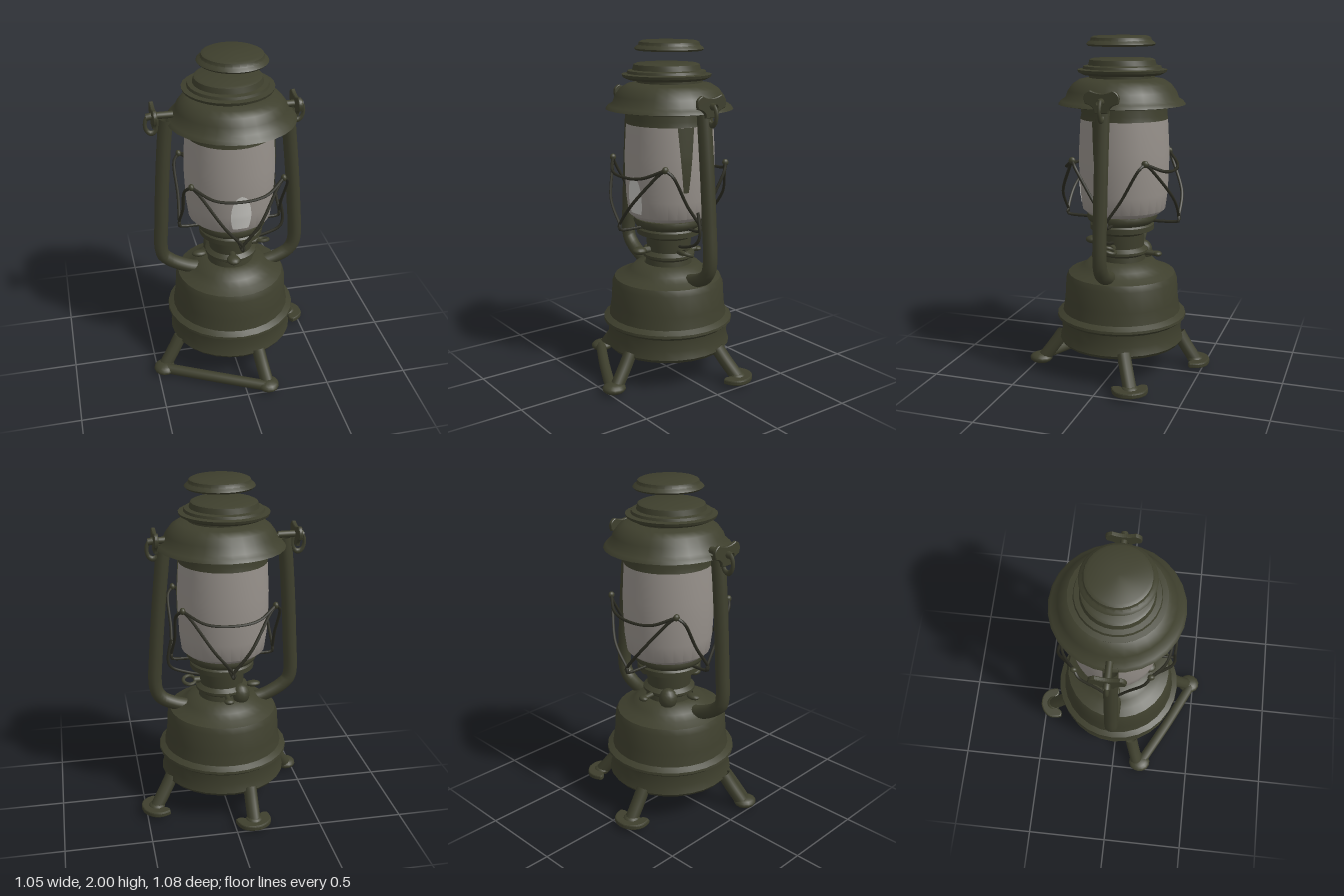
import * as THREE from 'three';
import { toCreasedNormals } from 'three/addons/utils/BufferGeometryUtils.js';

export function createModel() {
  const lantern = new THREE.Group();
  lantern.name = 'lantern';

  const paint = (name, color, side = THREE.DoubleSide) => {
    const m = new THREE.MeshStandardMaterial({ color, side });
    m.name = name;
    return m;
  };
  const metal = paint('olive metal', 0x3e3f2d);
  const wireMetal = paint('dark wire', 0x2c2c22);
  const glass = paint('smoky glass', 0x96908a);
  const glow = paint('pale glass', 0xc4c3be);

  const V = (p) => new THREE.Vector3(...p);
  const add = (name, geometry, material = metal, parent = lantern) => {
    const mesh = new THREE.Mesh(geometry, material);
    mesh.name = name;
    parent.add(mesh);
    return mesh;
  };
  // Turned part from [radius, height] pairs
  const turned = (name, profile, x, z, material = metal) => {
    const g = new THREE.LatheGeometry(profile.map(([r, y]) => new THREE.Vector2(r, y)), 28);
    const mesh = add(name, toCreasedNormals(g, 0.75), material);
    mesh.position.set(x, 0, z);
    return mesh;
  };
  // Round bar through points
  const bar = (name, points, radius, material = metal, sides = 10, tension = 0.5) => {
    const curve = new THREE.CatmullRomCurve3(points.map(V), false, 'catmullrom', tension);
    return add(name, new THREE.TubeGeometry(curve, points.length * 6, radius, sides), material);
  };
  // Ellipsoid lump
  const lump = (name, p, s, material = metal) => {
    const mesh = add(name, new THREE.SphereGeometry(1, 14, 10), material);
    mesh.position.set(...p);
    mesh.scale.set(...s);
    return mesh;
  };

  // Fuel tank with rim and shoulder
  turned('fuelTank', [
    [0, 0.18], [0.36, 0.18], [0.375, 0.2], [0.36, 0.25], [0.365, 0.32], [0.39, 0.34],
    [0.388, 0.355], [0.355, 0.375], [0.342, 0.45], [0.335, 0.57], [0.32, 0.605],
    [0.27, 0.625], [0.225, 0.65], [0.195, 0.68], [0.14, 0.69],
  ], 0, -0.01);

  // Burner neck and gallery
  turned('burner', [
    [0.14, 0.68], [0.135, 0.72], [0.155, 0.735], [0.155, 0.75], [0.13, 0.77], [0.135, 0.85],
    [0.16, 0.87], [0.19, 0.875], [0.19, 0.905], [0.18, 0.915], [0.2, 0.93], [0.21, 0.95],
    [0.205, 0.97], [0.17, 0.98],
  ], 0.005, -0.015);

  // Glass chimney and its dark upper collar
  const chimneyProfile = [
    [0.17, 0.965], [0.215, 0.975], [0.245, 1.0], [0.258, 1.1], [0.265, 1.25],
    [0.265, 1.35], [0.255, 1.53],
  ];
  turned('glassChimney', chimneyProfile, 0, -0.025, glass);
  turned('chimneyCollar', [[0.256, 1.53], [0.25, 1.56], [0.25, 1.66]], 0, -0.025);

  // Curved patch laid on the chimney, with its outline given by a half-angle rule
  const glassPatch = (name, y0, y1, centre, halfAngle, material) => {
    const g = new THREE.PlaneGeometry(1, 1, 8, 16);
    const p = g.attributes.position;
    for (let i = 0; i < p.count; i++) {
      const t = p.getY(i) + 0.5;
      const y = y0 + (y1 - y0) * t;
      const k = chimneyProfile.findIndex(([, h]) => h >= y);
      const [ra, ya] = chimneyProfile[k - 1], [rb, yb] = chimneyProfile[k];
      const r = ra + (rb - ra) * (y - ya) / (yb - ya) + 0.004;
      const a = centre + p.getX(i) * 2 * halfAngle(t);
      p.setXYZ(i, Math.sin(a) * r, y, Math.cos(a) * r - 0.025);
    }
    g.computeVertexNormals();
    add(name, g, material);
  };
  glassPatch('lightWindow', 1.02, 1.24, 0.05, (t) => 0.23 * Math.sqrt(Math.max(0, 1 - (t * 1.6 - 0.6) ** 2)), glow);
  glassPatch('sideGuard', 1.16, 1.53, 1.3, (t) => 0.06 + 0.13 * t, metal);

  // Hood, vent ring and the separate cap
  turned('hood', [
    [0.25, 1.615], [0.345, 1.61], [0.37, 1.615], [0.355, 1.635], [0.33, 1.65], [0.315, 1.69],
    [0.285, 1.73], [0.245, 1.755], [0.19, 1.765], [0.19, 1.785],
  ], 0.01, -0.015);
  turned('ventRing', [
    [0.18, 1.775], [0.225, 1.78], [0.255, 1.795], [0.26, 1.81], [0.23, 1.815], [0.225, 1.83],
    [0.198, 1.835], [0.19, 1.865], [0.175, 1.872], [0, 1.872],
  ], -0.01, -0.01);
  const cap = turned('topCap', [
    [0, 1.945], [0.165, 1.945], [0.19, 1.945], [0.2, 1.955], [0.19, 1.967], [0.177, 1.975],
    [0.172, 1.992], [0.155, 2.0], [0, 1.998],
  ], -0.005, -0.01);
  cap.rotation.z = -0.01;

  // Side tubes
  bar('leftSideTube', [
    [0.22, 0.62, -0.01], [0.3, 0.645, -0.01], [0.375, 0.69, -0.01], [0.407, 0.78, -0.01],
    [0.395, 1.0, -0.01], [0.375, 1.25, -0.01], [0.35, 1.5, -0.01], [0.335, 1.64, -0.01],
  ], 0.041);
  bar('rightSideTube', [
    [-0.18, 0.63, -0.01], [-0.27, 0.655, -0.01], [-0.375, 0.715, -0.01], [-0.42, 0.79, -0.01],
    [-0.412, 1.0, -0.01], [-0.397, 1.25, -0.01], [-0.377, 1.5, -0.01], [-0.36, 1.64, -0.01],
  ], 0.041);

  // Handle brackets: winged plate, peg and loop
  const wing = new THREE.Shape();
  wing.moveTo(-0.035, -0.05);
  wing.quadraticCurveTo(-0.04, -0.01, -0.09, 0.0);
  wing.quadraticCurveTo(-0.11, 0.05, -0.065, 0.065);
  wing.quadraticCurveTo(0, 0.035, 0.065, 0.065);
  wing.quadraticCurveTo(0.11, 0.05, 0.09, 0.0);
  wing.quadraticCurveTo(0.04, -0.01, 0.035, -0.05);
  for (const [side, x] of [['left', 0.385], ['right', -0.43]]) {
    const s = Math.sign(x);
    const plate = add(side + 'BracketPlate', new THREE.ExtrudeGeometry(wing, {
      depth: 0.015, bevelSize: 0.004, bevelThickness: 0.004, bevelSegments: 1,
    }));
    plate.rotation.y = Math.PI / 2;
    plate.position.set(x - 0.007, 1.65, -0.02);
    bar(side + 'BracketPeg', [[s * 0.32, 1.66, -0.02], [x, 1.66, -0.02], [x + s * 0.04, 1.655, -0.02]], 0.02);
    const loop = add(side + 'BracketLoop', new THREE.TorusGeometry(0.036, 0.011, 8, 18));
    loop.position.set(x + s * 0.012, 1.61, -0.02);
    loop.scale.y = 1.5;
  }

  // Wire guard: four V-shaped wires and two sagging bows
  for (let i = 0; i < 4; i++) {
    const a = i * Math.PI / 2;
    const alongZ = i % 2 === 0;
    const reach = alongZ ? 0.345 : 0.305;
    const wires = new THREE.Group();
    wires.name = 'guardWires' + (i + 1);
    const at = (x, y, d) => [x * Math.cos(a) + d * Math.sin(a), y, d * Math.cos(a) - x * Math.sin(a) - 0.015];
    const w = alongZ ? 0.265 : 0.215, d = alongZ ? 0.215 : 0.265;
    for (const s of [-1, 1]) {
      wires.add(bar('guardBrace', [
        at(s * w, 1.31, d), at(s * w * 0.82, 1.26, d + 0.035), at(s * w * 0.4, 1.1, reach - 0.01),
        at(0, 0.97, reach), at(0, 0.935, reach - 0.01), at(0, 0.93, 0.18),
      ], 0.009, wireMetal, 6));
    }
    if (alongZ) {
      wires.add(bar('guardBow', [
        at(-w, 1.31, d), at(-0.15, 1.255, 0.295), at(0, 1.242, 0.32), at(0.15, 1.255, 0.295), at(w, 1.31, d),
      ], 0.009, wireMetal, 6));
    }
    lantern.add(wires);
  }
  for (const x of [-0.265, 0.265]) {
    for (const z of [-0.23, 0.2]) lump('guardJoint', [x, 1.31, z], [0.016, 0.02, 0.02]);
  }
  bar('lifterWire', [
    [0.12, 0.81, 0], [0.2, 0.825, 0.01], [0.3, 0.865, 0.01], [0.325, 0.93, 0], [0.305, 1.05, 0],
  ], 0.009, wireMetal, 6);

  // Valve parts around the neck
  bar('valveStem', [[0.1, 0.78, 0], [0.17, 0.78, 0]], 0.02);
  const key = add('valveKey', new THREE.TorusGeometry(0.036, 0.011, 8, 18));
  key.rotation.x = Math.PI / 2.6;
  key.position.set(0.2, 0.78, 0);
  lump('frontKnob', [-0.02, 0.78, 0.18], [0.04, 0.024, 0.045]);
  bar('frontStem', [[-0.01, 0.78, 0.08], [-0.02, 0.78, 0.18]], 0.02);
  lump('rightKnob', [-0.19, 0.73, -0.01], [0.045, 0.018, 0.03]);
  bar('backLever', [[0, 0.735, -0.1], [0, 0.73, -0.24]], 0.016);
  lump('backLeverTip', [0, 0.73, -0.235], [0.03, 0.016, 0.025]);
  lump('fillerCap', [-0.09, 0.72, -0.12], [0.055, 0.065, 0.055]);

  // Splayed legs: [top x, z, foot x, z]
  const legs = {
    backLeg: [-0.105, -0.345, -0.11, -0.45],
    leftLeg: [0.335, -0.13, 0.44, -0.2],
    frontLeg: [0.1, 0.335, 0.13, 0.45],
    rightLeg: [-0.345, 0.11, -0.45, 0.16],
  };
  const footShape = new THREE.Shape();
  footShape.moveTo(-0.095, -0.03);
  footShape.quadraticCurveTo(-0.105, 0.07, 0, 0.08);
  footShape.quadraticCurveTo(0.105, 0.07, 0.095, -0.03);
  footShape.quadraticCurveTo(0.06, -0.05, 0.04, 0);
  footShape.lineTo(-0.04, 0);
  footShape.quadraticCurveTo(-0.06, -0.05, -0.095, -0.03);
  for (const [name, [tx, tz, fx, fz]] of Object.entries(legs)) {
    const mx = tx + (fx - tx) * 0.4, mz = tz + (fz - tz) * 0.4;
    bar(name, [[tx, 0.21, tz], [mx, 0.14, mz], [fx, 0.045, fz]], 0.04);
    if (name === 'backLeg' || name === 'leftLeg') {
      // Hooked foot pad facing outwards
      const foot = add(name + 'Foot', new THREE.ExtrudeGeometry(footShape, {
        depth: 0.016, bevelSize: 0.008, bevelThickness: 0.008, bevelSegments: 2,
      }));
      foot.rotation.order = 'YXZ';
      foot.rotation.set(Math.PI / 2, Math.atan2(fx, fz), 0);
      foot.position.set(fx, 0.05, fz);
      lump(name + 'Ankle', [fx, 0.05, fz], [0.05, 0.025, 0.05]);
    } else {
      lump(name + 'Foot', [fx * 1.02, 0.04, fz + 0.02], [0.065, 0.034, 0.07]);
    }
  }
  // Foot rail joining the front and right legs
  bar('footRail', [[-0.46, 0.04, 0.19], [-0.17, 0.045, 0.345], [0.13, 0.04, 0.49]], 0.032);

  return lantern;
}
